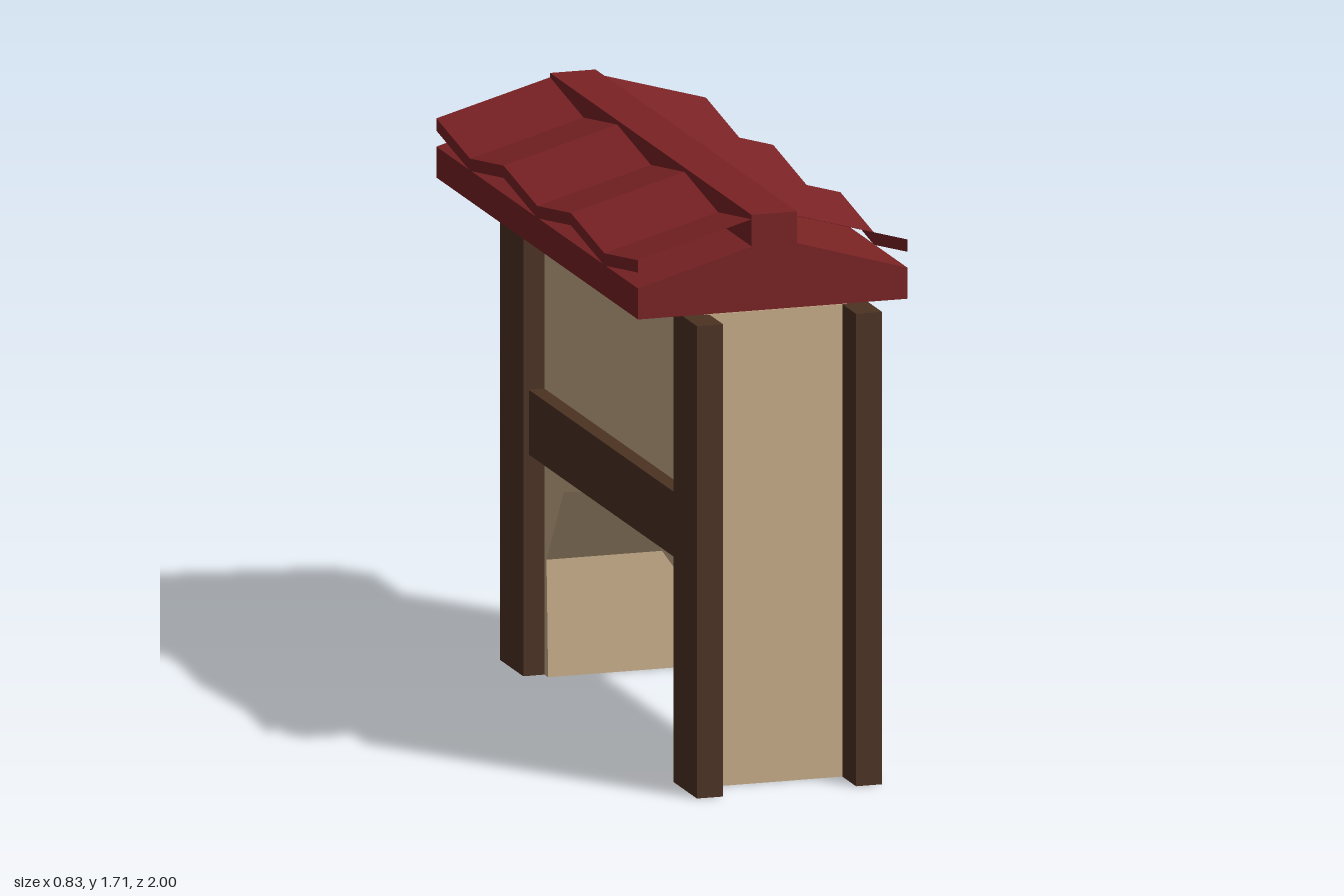
import * as THREE from 'three';

const plaster = new THREE.MeshStandardMaterial({ name: 'plaster', color: 0xc9ae8a });
const timber = new THREE.MeshStandardMaterial({ name: 'timber', color: 0x4d3323 });
const roofRed = new THREE.MeshStandardMaterial({ name: 'roof red', color: 0x7a2224 });
const sheetRed = new THREE.MeshStandardMaterial({ name: 'sheet red', color: 0x7a2224, side: THREE.DoubleSide });

const FRONT = 0.875, BACK = -1, CENTRE_X = 0.01;

function add(group, name, geometry, material) {
  const mesh = new THREE.Mesh(geometry, material);
  mesh.name = name;
  group.add(mesh);
  return mesh;
}

// Box given by its limits on each axis
function box(x0, x1, y0, y1, z0, z1) {
  return new THREE.BoxGeometry(x1 - x0, y1 - y0, z1 - z0)
    .translate((x0 + x1) / 2, (y0 + y1) / 2, (z0 + z1) / 2);
}

// Same box without its underside
function openBox(...limits) {
  const g = box(...limits);
  const index = Array.from(g.index.array);
  index.splice(18, 6);
  g.setIndex(index);
  g.clearGroups();
  return g;
}

const shapeOf = (points) => new THREE.Shape(points.map(([a, b]) => new THREE.Vector2(a, b)));

// Zigzag roof sheet with a narrow hanging lip on its outer edge
function wavySheet(side) {
  const waves = 6, inner = side > 0 ? 0.075 : -0.065, outer = side * 0.415;
  const positions = [];
  const quad = (a, b, c, d) => {
    const order = side > 0 ? [a, b, c, a, c, d] : [a, c, b, a, d, c];
    order.forEach((p) => positions.push(...p));
  };
  for (let i = 0; i < waves; i++) {
    const z0 = FRONT + (BACK - FRONT) * i / waves;
    const z1 = FRONT + (BACK - FRONT) * (i + 1) / waves;
    const d0 = i % 2 ? 0.05 : 0, d1 = 0.05 - d0;
    const in0 = [inner, 1.697 - d0, z0], in1 = [inner, 1.697 - d1, z1];
    const out0 = [outer, 1.6 - d0, z0], out1 = [outer, 1.6 - d1, z1];
    quad(in0, out0, out1, in1);
    quad(out0, [outer, 1.563 - d0, z0], [outer, 1.563 - d1, z1], out1);
  }
  const g = new THREE.BufferGeometry();
  g.setAttribute('position', new THREE.Float32BufferAttribute(positions, 3));
  g.computeVertexNormals();
  return g;
}

export function createModel() {
  const model = new THREE.Group();
  model.name = 'coveredArchway';

  // Wall with the faceted arch cut through it, drawn in z and y
  const wallShape = shapeOf([
    [BACK, 0], [-0.58, 0], [-0.595, 0.35], [-0.435, 0.59], [-0.1, 0.665], [0.09, 0.705],
    [0.28, 0.665], [0.62, 0.59], [0.775, 0.35], [0.765, 0], [FRONT - 0.003, 0],
    [FRONT - 0.003, 1.42], [BACK, 1.42],
  ]);
  const wall = new THREE.ExtrudeGeometry(wallShape, { depth: 0.44, bevelEnabled: false })
    .rotateY(-Math.PI / 2).translate(CENTRE_X + 0.22, 0, 0);
  add(model, 'archedWall', wall, plaster);

  // Timber posts and cross beams on both sides
  for (const side of [1, -1]) {
    const label = side > 0 ? 'left' : 'right';
    const span = (a, b) => [CENTRE_X + side * a, CENTRE_X + side * b].sort((p, q) => p - q);
    const postX = span(0.205, 0.285);
    add(model, label + 'FrontPost', openBox(...postX, 0, 1.42, 0.78, 1), timber);
    add(model, label + 'BackPost', openBox(...postX, 0, 1.42, -0.83, -0.615), timber);
    add(model, label + 'Beam', box(...span(0.205, 0.268), 0.665, 0.86, -0.63, 0.79), timber);
    add(model, label + 'RoofSheet', wavySheet(side), sheetRed);
  }

  // Solid roof with raised ridge
  const roofShape = shapeOf([
    [-0.415, 1.422], [0.415, 1.422], [0.415, 1.515], [0.075, 1.615], [0.075, 1.71],
    [-0.065, 1.71], [-0.065, 1.615], [-0.415, 1.515],
  ]);
  const roof = new THREE.ExtrudeGeometry(roofShape, { depth: FRONT - BACK, bevelEnabled: false })
    .translate(0, 0, BACK);
  add(model, 'roof', roof, roofRed);

  // Plastered underside of the roof
  const soffit = new THREE.PlaneGeometry(0.83, FRONT - BACK)
    .rotateX(Math.PI / 2).translate(0, 1.42, (FRONT + BACK) / 2);
  add(model, 'soffit', soffit, plaster);

  return model;
}
